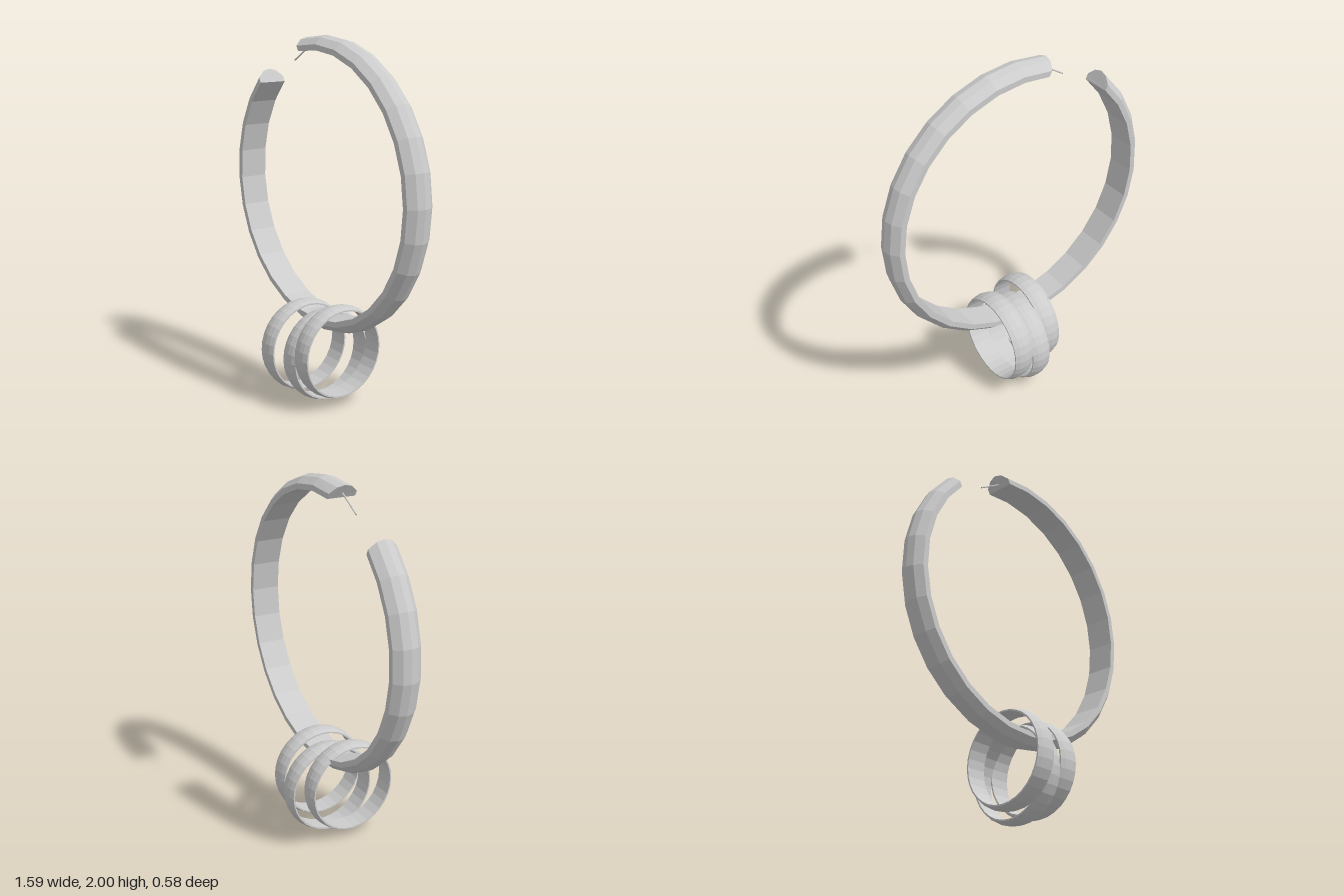
import * as THREE from 'three';

const HOOP = { y: 1.205, z: -0.035, start: -226.3, end: 102.1, steps: 26 };

// Sweeps a closed [radius, z] section along an open arc, with slanted capped ends
function sweepArc(section, { start, end, steps }) {
  const n = section.length, pos = [], idx = [];
  for (let i = 0; i <= steps; i++) {
    const slant = i === 0 ? -25 : i === steps ? 25 : 0;
    for (const [r, z] of section) {
      const a = THREE.MathUtils.degToRad(start + (end - start) * i / steps + slant * (r - 0.755));
      pos.push(r * Math.cos(a), r * Math.sin(a), z);
    }
  }
  for (let i = 0; i < steps; i++) {
    for (let j = 0; j < n; j++) {
      const a = i * n + j, b = i * n + (j + 1) % n;
      idx.push(a, a + n, b, b, a + n, b + n);
    }
  }
  const last = steps * n;
  for (let j = 1; j < n - 1; j++) {
    idx.push(0, j, j + 1);
    idx.push(last, last + j + 1, last + j);
  }
  const g = new THREE.BufferGeometry();
  g.setAttribute('position', new THREE.Float32BufferAttribute(pos, 3));
  g.setIndex(idx);
  g.computeVertexNormals();
  return g;
}

export function createModel() {
  const group = new THREE.Group();
  const metal = new THREE.MeshStandardMaterial({ color: 0xcccccc, flatShading: true });
  const add = (name, geometry) => {
    const mesh = new THREE.Mesh(geometry, metal);
    mesh.name = name;
    group.add(mesh);
    return mesh;
  };

  // Open hoop: flat inside, domed outside
  const section = [
    [0.72, -0.08], [0.75, -0.08], [0.784, -0.042], [0.795, 0],
    [0.784, 0.042], [0.75, 0.08], [0.72, 0.08],
  ].map(([r, z]) => [r, z]);
  add('hoop', sweepArc(section, HOOP)).position.set(0, HOOP.y, HOOP.z);

  // Thin ear post bridging the gap
  const from = new THREE.Vector3(-0.14, 1.942, HOOP.z);
  const to = new THREE.Vector3(-0.285, 1.853, HOOP.z);
  const dir = to.clone().sub(from);
  const post = add('post', new THREE.CylinderGeometry(0.004, 0.004, dir.length(), 8));
  post.position.copy(from).add(to).multiplyScalar(0.5);
  post.quaternion.setFromUnitVectors(new THREE.Vector3(0, 1, 0), dir.normalize());

  // Three domed bands hanging from the hoop, axis along x
  const profile = [
    [0.238, -0.057], [0.246, -0.057], [0.256, -0.03], [0.26, 0],
    [0.256, 0.03], [0.246, 0.057], [0.238, 0.057], [0.238, -0.057],
  ].map(([r, h]) => new THREE.Vector2(r, h));
  const band = new THREE.LatheGeometry(profile, 32).rotateZ(-Math.PI / 2);
  const bands = [
    ['rightBand', -0.117, 0.3, 0.03],
    ['middleBand', -0.001, 0.262, -0.035],
    ['leftBand', 0.115, 0.31, -0.03],
  ];
  for (const [name, x, y, z] of bands) add(name, band).position.set(x, y, z);

  return group;
}
